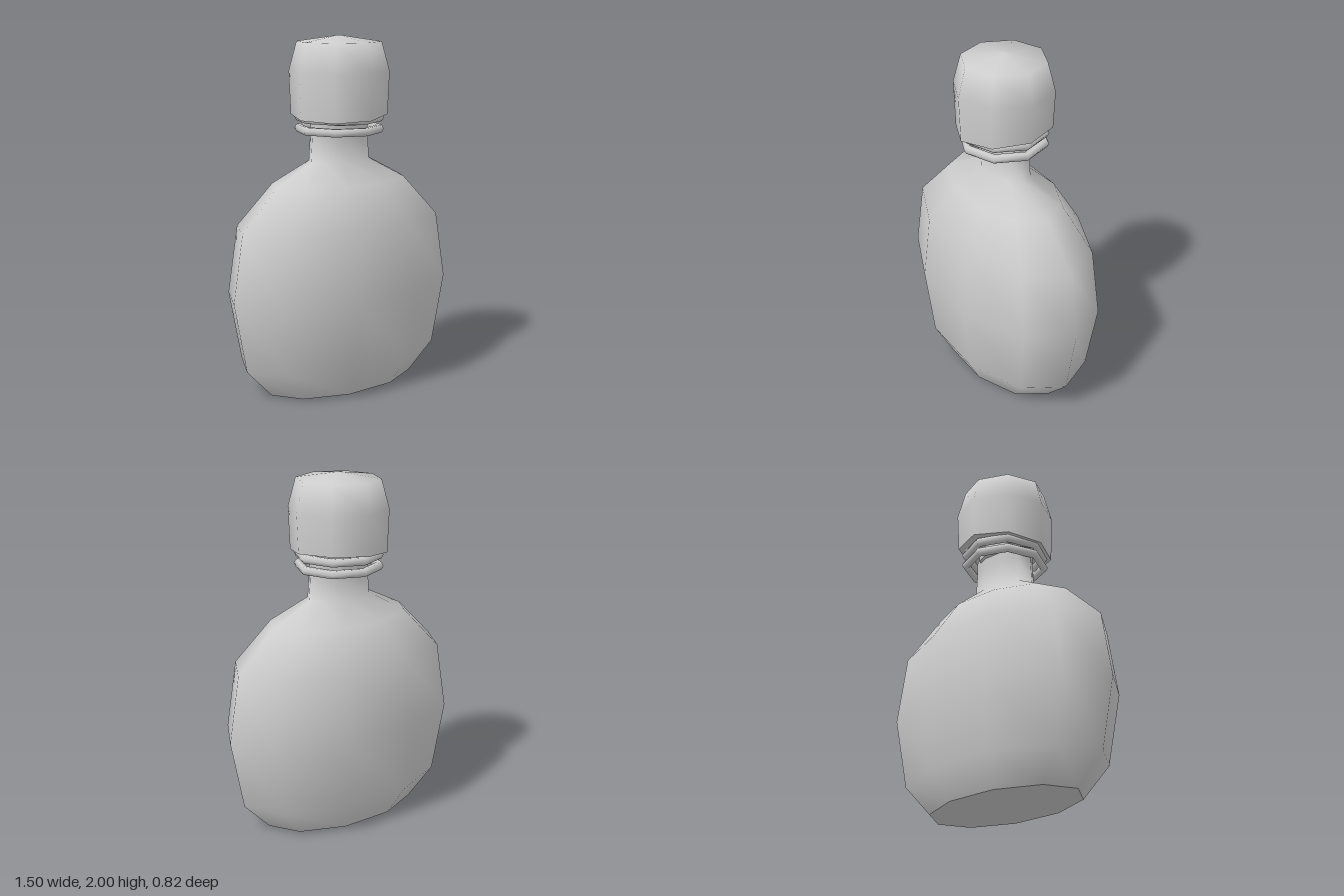
import * as THREE from 'three';

const glass = new THREE.MeshStandardMaterial({ color: 0xcccccc, side: THREE.DoubleSide });
glass.name = 'pale grey';

// Lathe with a vertex on the x axis
function turned(profile, sides) {
  const points = profile.map(([r, y]) => new THREE.Vector2(r, y));
  return new THREE.LatheGeometry(points, sides, Math.PI / 2);
}

export function createModel() {
  const model = new THREE.Group();
  model.name = 'bottle';
  const add = (name, geometry) => {
    const mesh = new THREE.Mesh(geometry, glass);
    mesh.name = name;
    model.add(mesh);
    return mesh;
  };

  // Flattened ten-sided body and neck, with a flat base
  const depth = 0.575;
  add('body', turned([
    [0.5, 0], [0.667, 0.17], [0.748, 0.57], [0.685, 0.95],
    [0.45, 1.18], [0.205, 1.3], [0.195, 1.45], [0.195, 1.53],
  ], 10).scale(1, 1, depth));
  add('base', new THREE.CircleGeometry(0.5, 10).rotateX(Math.PI / 2).scale(1, 1, depth));

  // Two rings around the neck
  for (const y of [1.475, 1.54]) {
    const ring = add('neckRing', new THREE.TorusGeometry(0.23, 0.025, 6, 8).rotateX(Math.PI / 2));
    ring.position.y = y;
  }

  // Plug under the stopper
  add('plug', new THREE.CylinderGeometry(0.15, 0.15, 0.09, 8).translate(0, 1.55, 0));

  // Eight-sided stopper whose lower rim is cut at a slight slant
  const rimY = 1.556;
  const slant = (geometry) => {
    const p = geometry.attributes.position;
    for (let i = 0; i < p.count; i++) {
      if (p.getY(i) < 1.6) p.setY(i, rimY + 0.07 * p.getX(i) - 0.06 * p.getZ(i));
    }
    return geometry;
  };
  add('stopper', slant(turned([[0.275, rimY], [0.285, 1.8], [0.24, 1.965], [0, 2]], 8)));
  add('stopperUnderside', slant(
    new THREE.CircleGeometry(0.275, 8).rotateX(Math.PI / 2).translate(0, rimY, 0)));

  return model;
}
